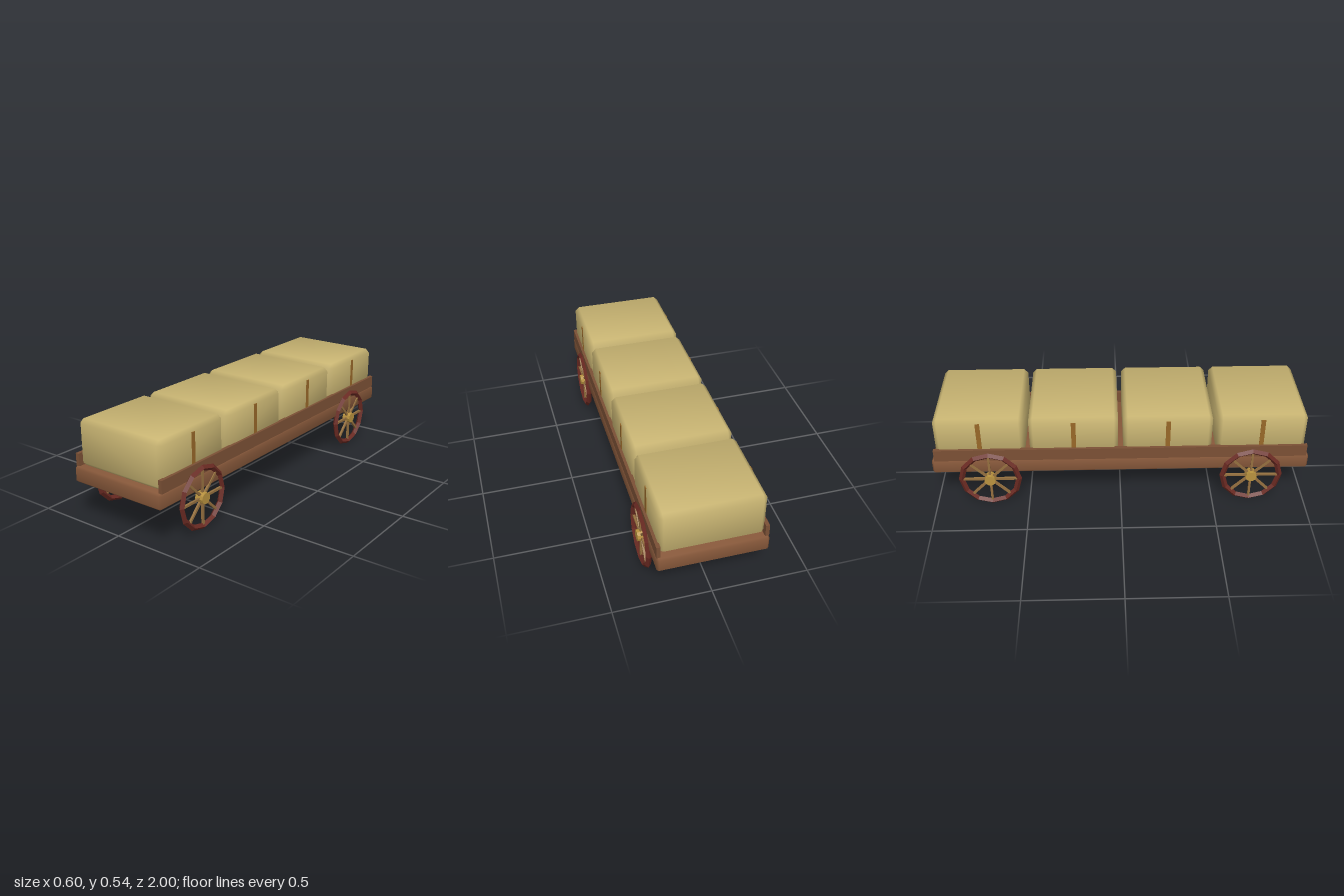
import * as THREE from 'three';
import { mergeVertices } from 'three/addons/utils/BufferGeometryUtils.js';
import { ConvexGeometry } from 'three/addons/geometries/ConvexGeometry.js';

const mat = (name, color, flatShading = false) => {
  const m = new THREE.MeshStandardMaterial({ color, flatShading });
  m.name = name;
  return m;
};

// Box with a single 45 degree chamfer and soft, blended normals
function chamferBox(w, h, d, c, soft) {
  const half = [w / 2, h / 2, d / 2];
  const points = [];
  for (let axis = 0; axis < 3; axis++) {
    for (const sx of [-1, 1]) for (const sy of [-1, 1]) for (const sz of [-1, 1]) {
      const p = [sx, sy, sz].map((s, i) => s * (half[i] - (i === axis ? 0 : c)));
      points.push(new THREE.Vector3(...p));
    }
  }
  let geo = new ConvexGeometry(points);
  geo.deleteAttribute('normal');
  geo = mergeVertices(geo, 1e-5);
  const pos = geo.attributes.position;
  const normals = [];
  for (let i = 0; i < pos.count; i++) {
    const v = [pos.getX(i), pos.getY(i), pos.getZ(i)];
    const n = v.map((a, k) => Math.sign(a) * (Math.abs(a) > half[k] - c / 2 ? 1 : soft));
    normals.push(...new THREE.Vector3(...n).normalize().toArray());
  }
  geo.setAttribute('normal', new THREE.Float32BufferAttribute(normals, 3));
  return geo;
}

export function createModel() {
  const model = new THREE.Group();
  model.name = 'hayWagon';

  const straw = mat('straw', 0xc8b472);
  const twine = mat('twine', 0x976728);
  const bedWood = mat('bedWood', 0x87583a);
  const railWood = mat('railWood', 0x7b5035);
  const rimPaint = mat('rimPaint', 0x6a2a22, true);
  const spokeWood = mat('spokeWood', 0x95703f);
  const brass = mat('brass', 0xb8923f, true);

  const add = (parent, name, geo, material, x = 0, y = 0, z = 0) => {
    const mesh = new THREE.Mesh(geo, material);
    mesh.name = name;
    mesh.position.set(x, y, z);
    parent.add(mesh);
    return mesh;
  };

  // Bed and side rails
  add(model, 'bed', chamferBox(0.556, 0.082, 2, 0.01, 0.2), bedWood, 0, 0.251, 0);
  const railGeo = new THREE.BoxGeometry(0.02, 0.067, 1.97);
  for (const s of [-1, 1]) add(model, s > 0 ? 'leftRail' : 'rightRail', railGeo, railWood, s * 0.267, 0.324, 0);

  // Four bales, each with a twine band on both sides
  const baleGeo = chamferBox(0.524, 0.243, 0.466, 0.022, 0.3);
  const bandGeo = new THREE.BoxGeometry(0.008, 0.223, 0.024);
  for (let i = 0; i < 4; i++) {
    const z = 0.741 - i * 0.494;
    add(model, 'bale', baleGeo, straw, 0, 0.4135, z);
    for (const s of [-1, 1]) add(model, 'baleBand', bandGeo, twine, s * 0.26, 0.4035, z);
  }

  // Wheels: diamond-section rim, eight spokes, hub
  const rimGeo = new THREE.TorusGeometry(0.1535, 0.0157, 4, 12).rotateY(Math.PI / 2);
  const hubGeo = new THREE.CylinderGeometry(0.03, 0.03, 0.046, 10).rotateZ(Math.PI / 2);
  const spokeGeo = new THREE.BoxGeometry(0.012, 0.15, 0.012).translate(0, 0.075, 0);
  for (const sx of [-1, 1]) {
    for (const sz of [-1, 1]) {
      const wheel = new THREE.Group();
      wheel.name = (sz > 0 ? 'front' : 'back') + (sx > 0 ? 'Left' : 'Right') + 'Wheel';
      wheel.position.set(sx * 0.278, 0.1692, sz * 0.7);
      add(wheel, 'rim', rimGeo, rimPaint);
      add(wheel, 'hub', hubGeo, brass);
      for (let k = 0; k < 8; k++) add(wheel, 'spoke', spokeGeo, spokeWood).rotation.x = (k * Math.PI) / 4;
      model.add(wheel);
    }
  }
  return model;
}
